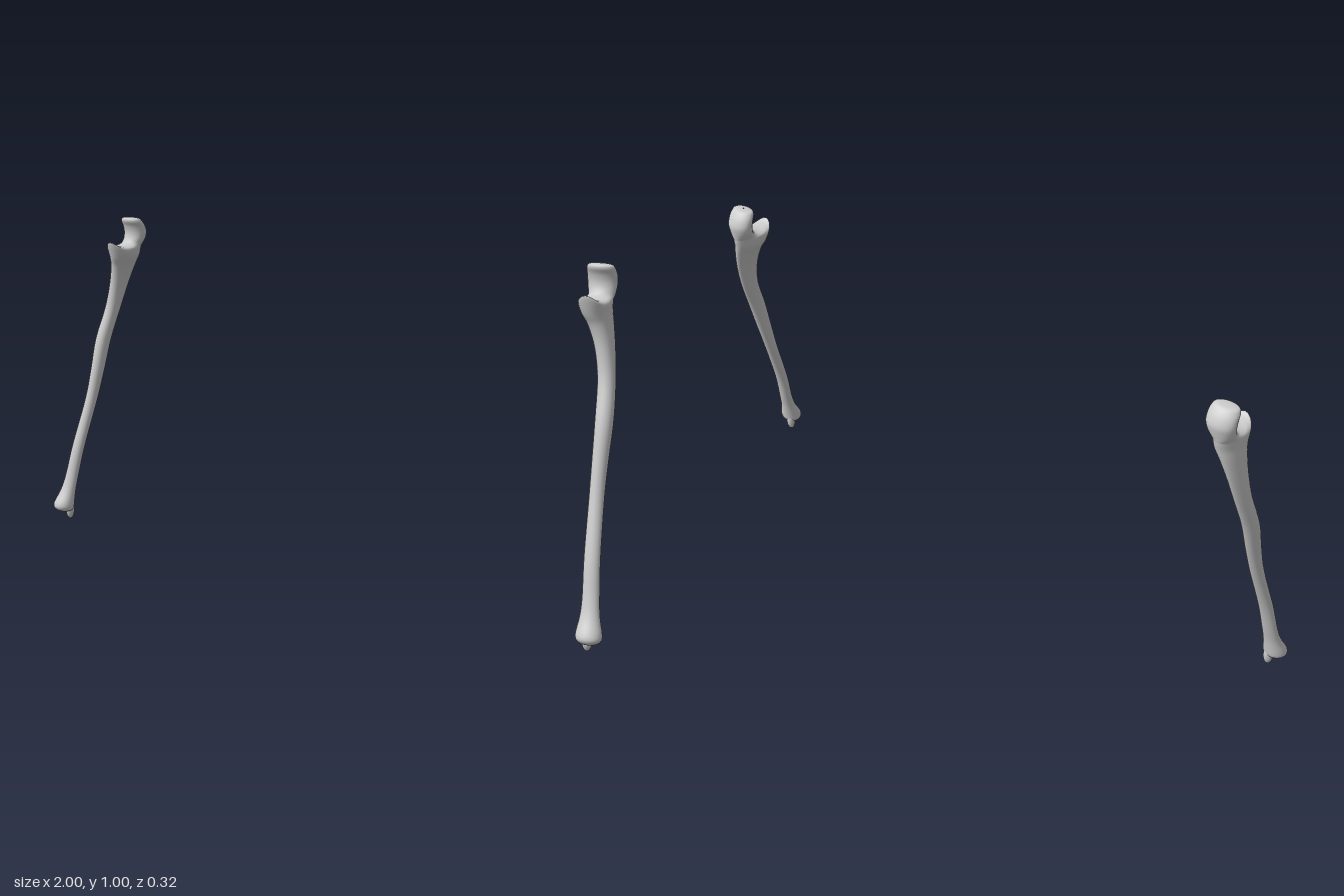
import * as THREE from 'three';

// Cross-sections: [y, inner x, outer x, back z, front z, front lip lift, back taper]
const SHAFT = [
  [0.031, 0.962, 0.964, 0.124, 0.126],
  [0.032, 0.938, 0.985, 0.106, 0.146],
  [0.043, 0.929, 0.999, 0.097, 0.158],
  [0.06, 0.928, 0.999, 0.094, 0.156],
  [0.10, 0.93, 0.985, 0.089, 0.132],
  [0.15, 0.927, 0.975, 0.078, 0.114],
  [0.25, 0.916, 0.961, 0.054, 0.09],
  [0.40, 0.90, 0.941, 0.003, 0.043],
  [0.50, 0.89, 0.936, -0.03, 0.018, 0, 0.1],
  [0.60, 0.88, 0.934, -0.061, -0.006, 0, 0.2],
  [0.70, 0.865, 0.92, -0.098, -0.04, 0, 0.3],
];
const ELBOW = [
  [0.78, 0.846, 0.907, -0.123, -0.049, 0, 0.35],
  [0.84, 0.823, 0.897, -0.138, -0.043, 0, 0.3],
  [0.875, 0.804, 0.892, -0.145, -0.029, 0, 0.25],
  [0.895, 0.80, 0.89, -0.149, -0.014, 0.03, 0.2],
  [0.904, 0.802, 0.886, -0.15, -0.028, 0.014, 0.15],
  [0.909, 0.806, 0.882, -0.151, -0.055, 0.002, 0.1],
  [0.916, 0.806, 0.88, -0.152, -0.084, 0, 0.05],
  [0.932, 0.80, 0.88, -0.155, -0.097],
  [0.952, 0.796, 0.881, -0.157, -0.101],
  [0.972, 0.796, 0.881, -0.150, -0.097],
  [0.988, 0.799, 0.879, -0.139, -0.089],
  [0.998, 0.808, 0.871, -0.127, -0.092],
  [1.0, 0.838, 0.84, -0.11, -0.108],
];
const SIDES = 28, STEPS = 4;

// Smooth interpolation between neighbouring cross-sections
function refine(rows) {
  const at = (i, k) => rows[Math.min(Math.max(i, 0), rows.length - 1)][k] ?? 0;
  const out = [];
  for (let i = 0; i < rows.length - 1; i++) {
    for (let s = 0; s < STEPS; s++) {
      const t = s / STEPS;
      out.push([0, 1, 2, 3, 4, 5, 6].map((k) => {
        const a = at(i - 1, k), b = at(i, k), c = at(i + 1, k), d = at(i + 2, k);
        return b + 0.5 * t * (c - a + t * (2 * a - 5 * b + 4 * c - d + t * (3 * (b - c) + d - a)));
      }));
    }
  }
  out.push([0, 1, 2, 3, 4, 5, 6].map((k) => at(rows.length - 1, k)));
  return out;
}

// Loft the rings; side is +1 or -1 and mirrors the bone in x
function boneGeometry(side) {
  const rings = refine([...SHAFT, ...ELBOW]);
  const pos = [], index = [];
  rings.forEach(([y, x0, x1, z0, z1, lift, taper], i) => {
    for (let j = 0; j < SIDES; j++) {
      const a = (j / SIDES) * Math.PI * 2, c = Math.cos(a);
      const width = ((x1 - x0) / 2) * (1 - taper * (1 - c) / 2);
      pos.push(
        side * ((x0 + x1) / 2 + width * Math.sin(a)),
        y + lift * Math.max(0, c) ** 3,
        (z0 + z1) / 2 + ((z1 - z0) / 2) * c
      );
      if (i === rings.length - 1) continue;
      const k = (j + 1) % SIDES, p = i * SIDES, q = p + SIDES;
      if (side > 0) index.push(p + j, p + k, q + k, p + j, q + k, q + j);
      else index.push(p + j, q + k, p + k, p + j, q + j, q + k);
    }
  });
  const g = new THREE.BufferGeometry();
  g.setAttribute('position', new THREE.Float32BufferAttribute(pos, 3));
  g.setIndex(index);
  g.computeVertexNormals();
  return g;
}

export function createModel() {
  const model = new THREE.Group();
  model.name = 'forearmBones';
  const material = new THREE.MeshStandardMaterial({ color: 0xcccccc });
  for (const side of [1, -1]) {
    const bone = new THREE.Group();
    bone.name = side > 0 ? 'leftUlna' : 'rightUlna';

    // Shaft with the hooked elbow end and rounded wrist head
    const shaft = new THREE.Mesh(boneGeometry(side), material);
    shaft.name = 'ulnaShaft';

    // Small pointed process at the wrist
    const tip = new THREE.Mesh(new THREE.SphereGeometry(1, 20, 14), material);
    tip.name = 'styloidProcess';
    tip.scale.set(0.015, 0.034, 0.014);
    tip.position.set(side * 0.953, 0.034, 0.111);

    bone.add(shaft, tip);
    model.add(bone);
  }
  return model;
}
